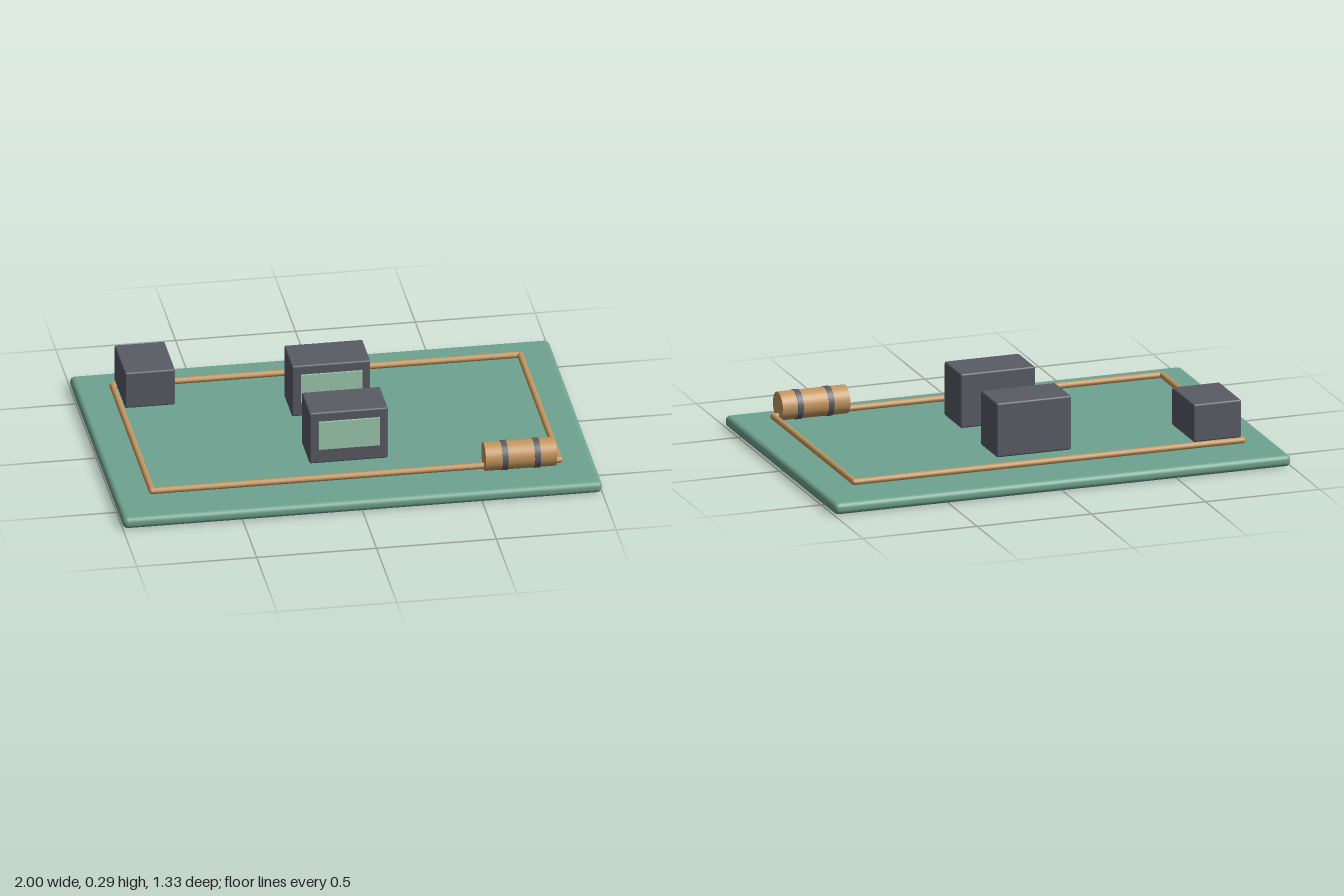
import * as THREE from 'three';
import { RoundedBoxGeometry } from 'three/addons/geometries/RoundedBoxGeometry.js';

const material = (name, color) => {
  const m = new THREE.MeshStandardMaterial({ color });
  m.name = name;
  return m;
};

export function createModel() {
  const green = material('boardGreen', 0x6fa390);
  const grey = material('caseGrey', 0x5a5c65);
  const copper = material('copper', 0xc4965f);
  const glass = material('paleGlass', 0xa0ceb2);

  const model = new THREE.Group();
  model.name = 'circuitBoard';

  const add = (parent, name, geometry, mat, x, y, z) => {
    const mesh = new THREE.Mesh(geometry, mat);
    mesh.name = name;
    mesh.position.set(x, y, z);
    parent.add(mesh);
    return mesh;
  };

  // Base board with rounded rim
  add(model, 'board', new RoundedBoxGeometry(2, 0.05, 1.33, 4, 0.022), green, 0, 0.025, 0);

  // Rectangular wire loop
  const wire = new THREE.Group();
  wire.name = 'wireLoop';
  model.add(wire);
  const WX = 0.85, WZ = 0.485, WY = 0.079, WR = 0.0135;
  for (const s of [-1, 1]) {
    add(wire, 'longWire', new THREE.CylinderGeometry(WR, WR, WX * 2, 12), copper, 0, WY, s * WZ)
      .rotation.z = Math.PI / 2;
    add(wire, 'sideWire', new THREE.CylinderGeometry(WR, WR, WZ * 2, 12), copper, s * WX, WY, 0)
      .rotation.x = Math.PI / 2;
    for (const t of [-1, 1]) {
      add(wire, 'wireCorner', new THREE.SphereGeometry(WR, 12, 8), copper, s * WX, WY, t * WZ);
    }
  }

  // Two meters, each with a display plate standing just off its front
  for (const z of [-0.216, 0.218]) {
    const meter = new THREE.Group();
    meter.name = 'meter';
    meter.position.z = z;
    model.add(meter);
    add(meter, 'meterCase', new RoundedBoxGeometry(0.328, 0.233, 0.197, 3, 0.008), grey, 0, 0.1765, 0);
    add(meter, 'meterDisplay', new THREE.BoxGeometry(0.256, 0.126, 0.008), glass, 0, 0.193, 0.11);
  }

  // Corner switch block
  add(model, 'switchBlock', new RoundedBoxGeometry(0.21, 0.163, 0.263, 3, 0.008), grey, -0.735, 0.177, -0.369);

  // Resistor with two dark bands
  const resistor = new THREE.Group();
  resistor.name = 'resistor';
  resistor.position.set(0.682, 0.121, 0.486);
  resistor.rotation.z = -Math.PI / 2;
  model.add(resistor);
  add(resistor, 'resistorBody', new THREE.CylinderGeometry(0.06, 0.06, 0.296, 32), copper, 0, 0, 0);
  for (const y of [-0.066, 0.069]) {
    add(resistor, 'resistorBand', new THREE.CylinderGeometry(0.0625, 0.0625, 0.024, 32), grey, 0, y, 0);
  }

  return model;
}
